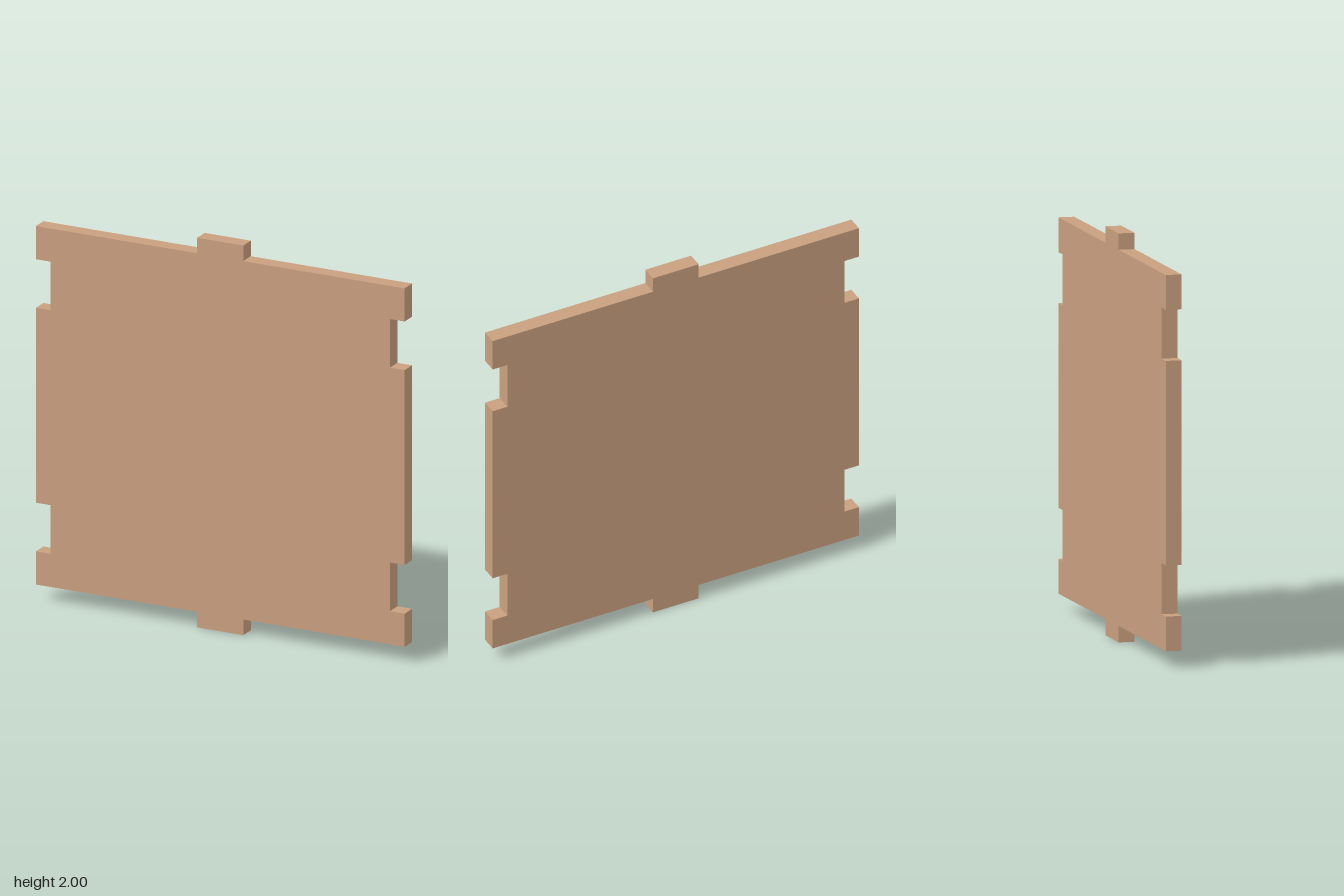
import * as THREE from 'three';

const THICKNESS = 0.08; // also the depth of every tab and notch

export function createModel() {
  const group = new THREE.Group();
  group.name = 'slottedPanel';
  const wood = new THREE.MeshStandardMaterial({ color: 0xc9a080 });
  wood.name = 'plywood';

  // Right-hand outline from bottom tab to top tab: [x, y]
  const inner = 1 - THICKNESS;
  const side = [
    [0.125, 0], [0.125, THICKNESS], [1, THICKNESS],
    [1, 0.25], [inner, 0.25], [inner, 0.5], [1, 0.5],
    [1, 1.5], [inner, 1.5], [inner, 1.75], [1, 1.75],
    [1, 2 - THICKNESS], [0.125, 2 - THICKNESS], [0.125, 2],
  ];
  // Mirror it for the other half
  const mirrored = side.map(([x, y]) => [-x, y]).reverse();
  const outline = [...side, ...mirrored].map(([x, y]) => new THREE.Vector2(x, y));

  // Flat panel with edge tabs and notches
  const geometry = new THREE.ExtrudeGeometry(new THREE.Shape(outline), {
    depth: THICKNESS, bevelEnabled: false,
  });
  geometry.translate(0, 0, -THICKNESS / 2);
  const panel = new THREE.Mesh(geometry, wood);
  panel.name = 'panel';
  group.add(panel);
  return group;
}
